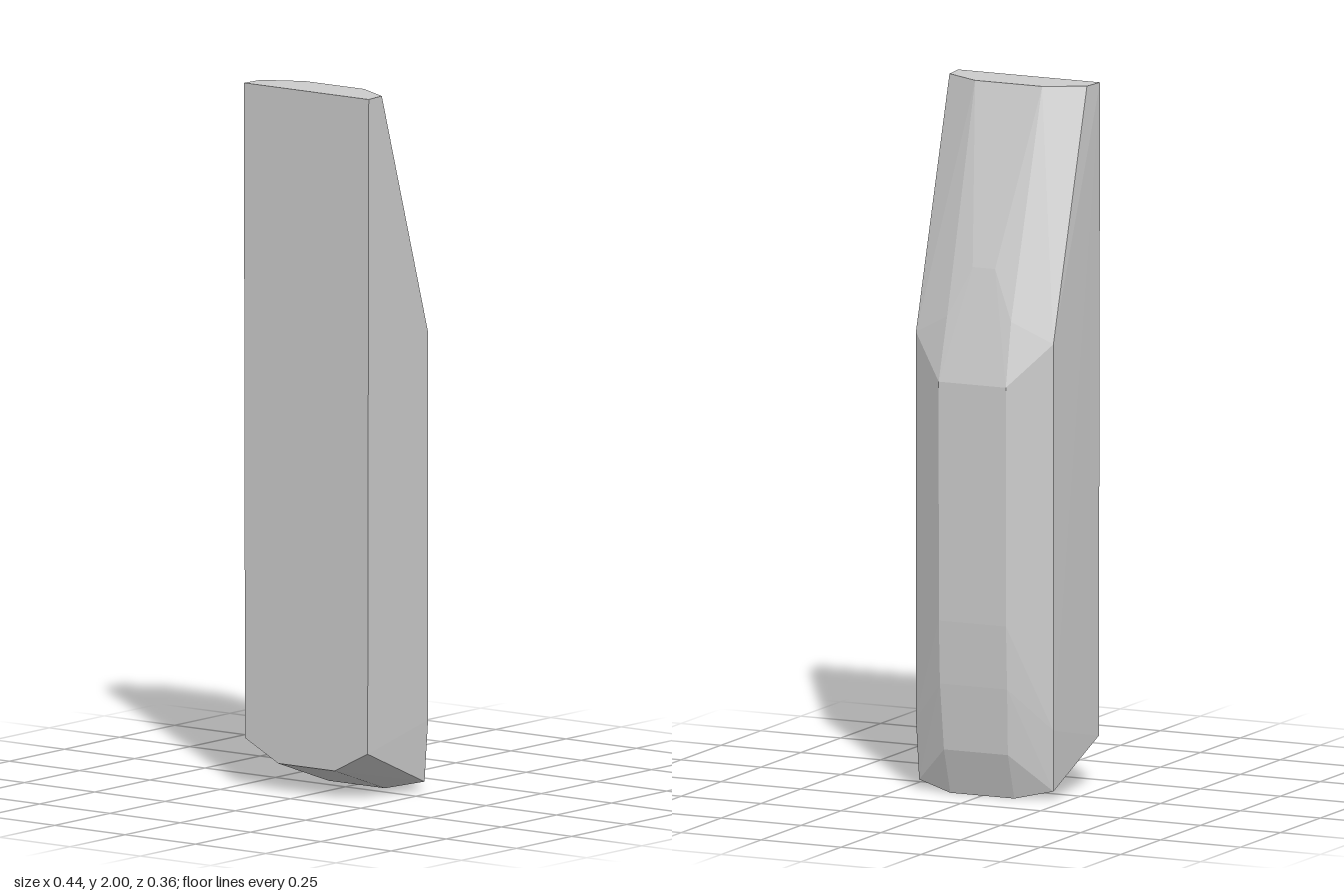
import * as THREE from 'three';
import { ConvexGeometry } from 'three/addons/geometries/ConvexGeometry.js';

export function createModel() {
  const group = new THREE.Group();
  group.name = 'bevelledBlock';

  // Corner points of one half (x, y, z); the other half is mirrored.
  const half = [
    // top face
    [0.222, 2, 0.178], [0.215, 2, 0.11], [0.105, 2, 0.05],
    // sloping upper back
    [0.035, 1.5, -0.105], [0.1, 1.36, -0.135], [0.215, 1.3, -0.1], [0.105, 1.18, -0.178],
    // straight back, tapering in towards the foot
    [0.105, 0.5, -0.177], [0.105, 0.32, -0.17], [0.1, 0.13, -0.155],
    [0.215, 0.2, -0.1],
    // slanted foot
    [0.21, 0.025, -0.09], [0.1, 0, -0.115], [0.1, 0, -0.05],
    [0.218, 0.14, 0.178], [0.1, 0.08, 0.178],
  ];
  const points = half.flatMap(([x, y, z]) =>
    [1, -1].map((side) => new THREE.Vector3(side * x, y, z)));

  // Faceted solid body
  const body = new THREE.Mesh(
    new ConvexGeometry(points),
    new THREE.MeshStandardMaterial({ color: 0xcccccc, flatShading: true }),
  );
  body.name = 'body';
  group.add(body);
  return group;
}
